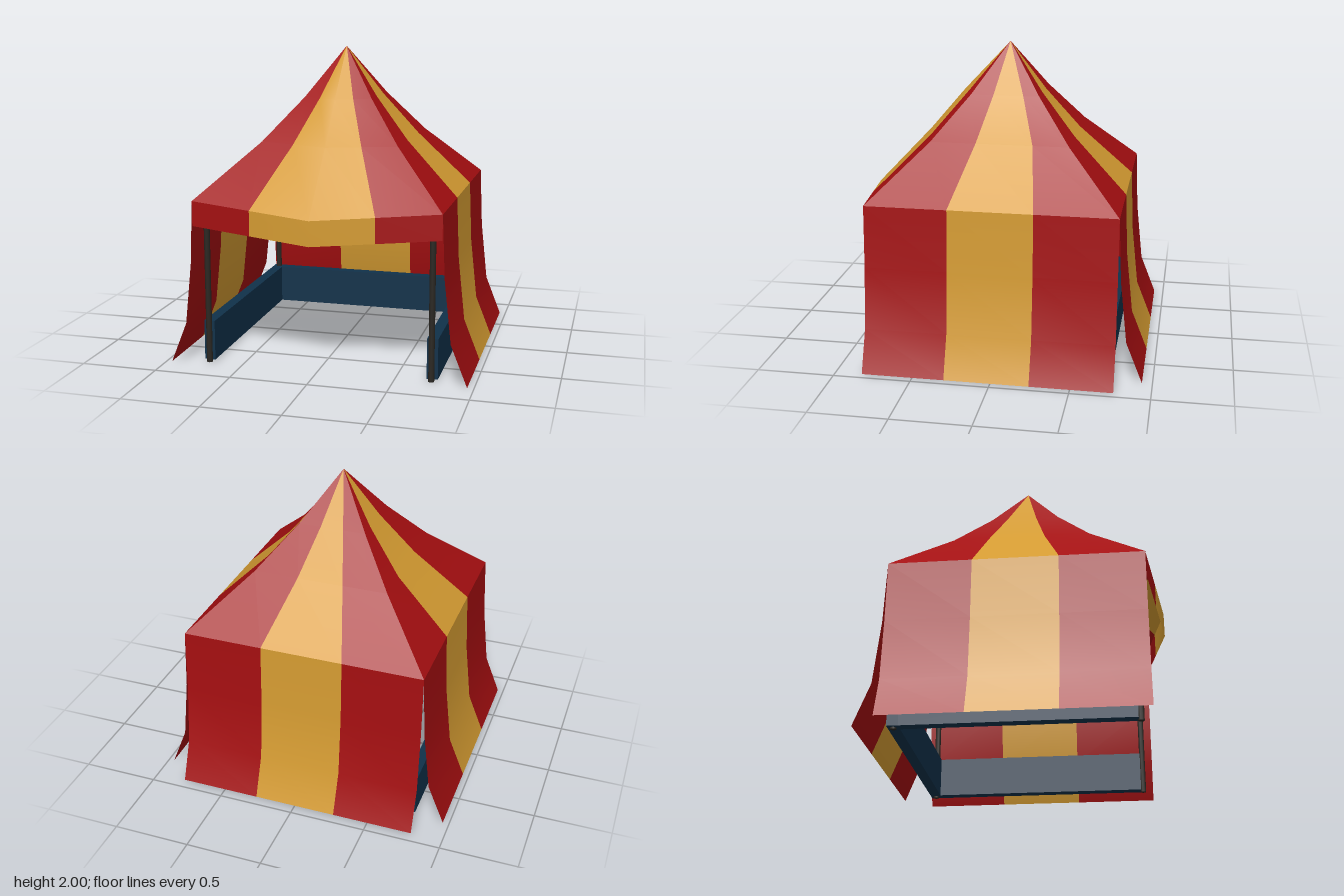
import * as THREE from 'three';

const red = new THREE.MeshStandardMaterial({ color: 0xa30e10, side: THREE.DoubleSide });
red.name = 'red canvas';
const yellow = new THREE.MeshStandardMaterial({ color: 0xd39a31, side: THREE.DoubleSide });
yellow.name = 'yellow canvas';
const navy = new THREE.MeshStandardMaterial({ color: 0x10314a });
navy.name = 'navy board';
const dark = new THREE.MeshStandardMaterial({ color: 0x2a2722 });
dark.name = 'dark pole';

// Cloth sheet from rows of points (top to bottom, left to right seen from outside);
// columns holds 0 (red) or 1 (yellow) for each column of faces.
function cloth(name, rows, columns) {
  const n = rows[0].length;
  const index = [];
  const geo = new THREE.BufferGeometry();
  columns.forEach((colour, c) => {
    const start = index.length;
    for (let r = 0; r < rows.length - 1; r++) {
      const a = r * n + c, b = a + n;
      index.push(a, b, b + 1);
      if (!(name.includes('Roof') && r === 0)) index.push(a, b + 1, a + 1);
    }
    geo.addGroup(start, index.length - start, colour);
  });
  geo.setAttribute('position', new THREE.Float32BufferAttribute(rows.flat(2), 3));
  geo.setIndex(index);
  geo.computeVertexNormals();
  const mesh = new THREE.Mesh(geo, [red, yellow]);
  mesh.name = name;
  return mesh;
}

// Mirror a sheet across x, keeping its outside facing out
const mirrorX = rows => rows.map(row => row.map(([x, y, z]) => [-x, y, z]).reverse());

function box(name, w, h, d, x, y, z) {
  const mesh = new THREE.Mesh(new THREE.BoxGeometry(w, h, d), navy);
  mesh.name = name;
  mesh.position.set(x, y, z);
  return mesh;
}

export function createModel() {
  const group = new THREE.Group();
  const X = 0.795, FRONT = 0.825, BACK = -0.77, EAVE = 1.07, MID = 0.03;
  const stripes = [0, 1, 0];
  const frontStripes = [0, 1, 1, 0];

  // Heights and plan fractions of the roof rings, from apex to eave
  const heights = [2, 1.68, 1.41, EAVE];
  const spread = [0, 0.28, 0.56, 1];

  // Side roofs
  const sideStripe = [[MID, MID], [0.105, -0.09], [0.18, -0.185], [0.295, -0.245]];
  const sideRoof = heights.map((y, i) => [
    MID + (FRONT - MID) * spread[i], ...sideStripe[i], MID + (BACK - MID) * spread[i],
  ].map(z => [X * spread[i], y, z]));
  group.add(cloth('leftRoof', sideRoof, stripes));
  group.add(cloth('rightRoof', mirrorX(sideRoof), stripes));

  // Back roof
  group.add(cloth('backRoof', heights.map((y, i) =>
    [X, 0.27, -0.27, -X].map(x => [x * spread[i], y, MID + (BACK - MID) * spread[i]])), stripes));

  // Front roof, with its eave pushed forward and down in the middle
  const middle = [0, 0.305, 0.54, 0.91];
  const frontRoof = heights.map((y, i) => {
    const corner = (FRONT - MID) * spread[i];
    const drop = [0, 0.005, 0.01, 0.06][i];
    return [-1, -0.5, 0, 0.5, 1].map(t => {
      const k = 1 - Math.abs(t);
      return [t * X * spread[i], y - drop * k, MID + corner + (middle[i] - corner) * k];
    });
  });
  group.add(cloth('frontRoof', frontRoof, frontStripes));

  // Valance hanging from the front eave
  const eave = frontRoof[3];
  group.add(cloth('frontValance', [eave, eave.map(([x, y, z]) => [x, y - 0.16, z])], frontStripes));

  // Walls flare outward towards the ground: [outward offset, height]
  const flare = [[0, EAVE], [0.017, 0.67], [0.06, 0.27], [0.165, 0.005]];
  const sideWall = flare.map(([o, y]) =>
    [FRONT, 0.295, -0.245, BACK].map(z => [X + o, y, z]));
  group.add(cloth('leftWall', sideWall, stripes));
  group.add(cloth('rightWall', mirrorX(sideWall), stripes));
  group.add(cloth('backWall', flare.map(([o, y]) =>
    [X, 0.27, -0.27, -X].map(x => [x, y, BACK - o])), stripes));

  // Boards along the back and both sides, open at the front
  group.add(box('backBoard', 1.53, 0.26, 0.07, 0, 0.14, -0.7));
  for (const s of [-1, 1]) {
    group.add(box(s > 0 ? 'leftBoard' : 'rightBoard', 0.07, 0.26, 1.405, s * 0.73, 0.14, 0.0375));
    // Corner poles
    for (const [end, z] of [['Front', 0.755], ['Back', -0.7]]) {
      const h = end === 'Front' ? 1.04 : 1.06;
      const pole = new THREE.Mesh(new THREE.CylinderGeometry(0.019, 0.019, h, 10), dark);
      pole.name = (s > 0 ? 'left' : 'right') + end + 'Pole';
      pole.position.set(s * 0.727, h / 2, z);
      group.add(pole);
    }
  }
  return group;
}
